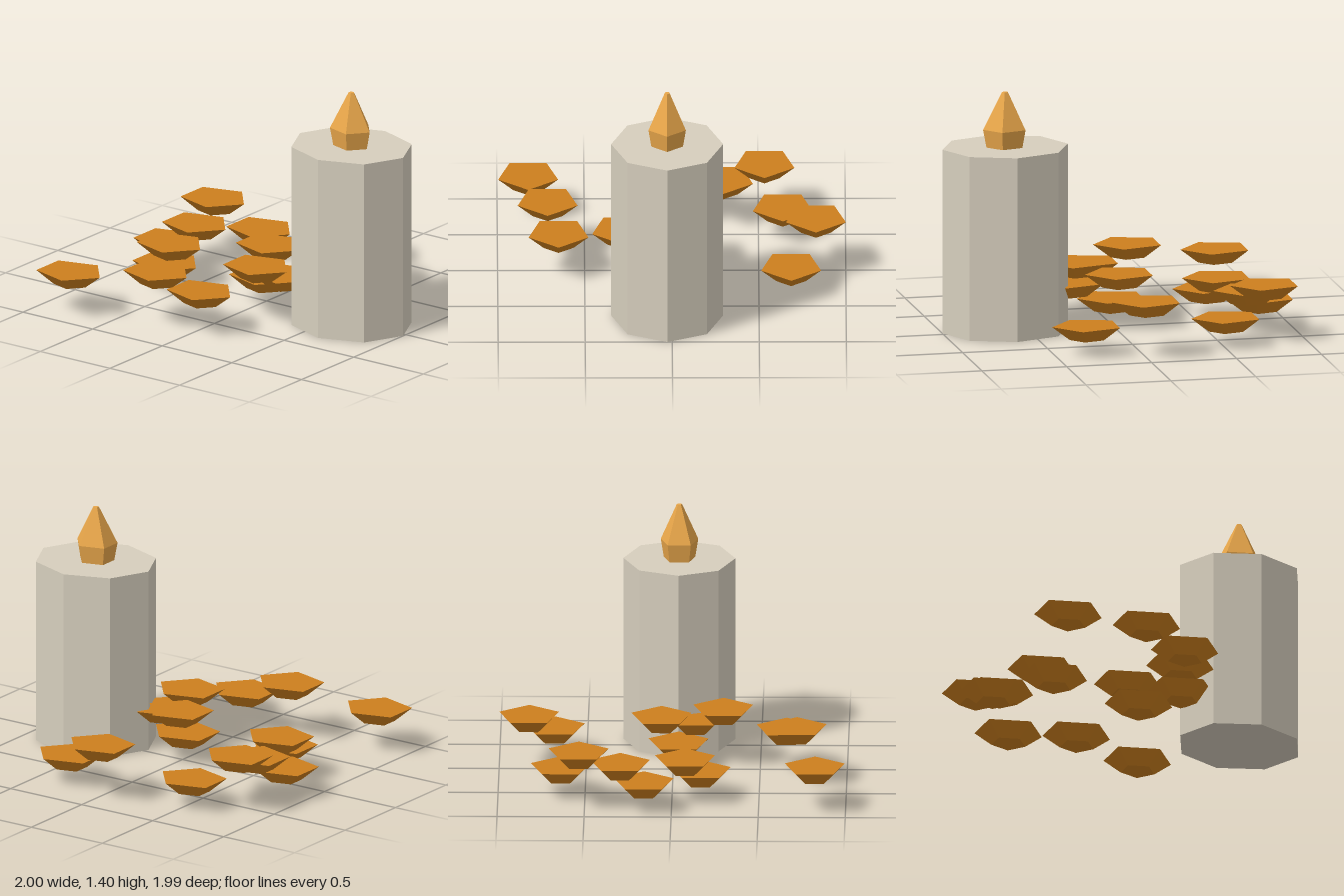
import * as THREE from 'three';

const DEPTH = 0.87; // everything is slightly squashed along z

function material(color) {
  return new THREE.MeshStandardMaterial({ color, flatShading: true });
}

// Faceted frustum with one corner pointing to +x
function frustum(name, rTop, rBottom, height, sides, mat, x, y, z, open = false) {
  const geo = new THREE.CylinderGeometry(rTop, rBottom, height, sides, 1, open, Math.PI / 2);
  geo.translate(0, height / 2, 0);
  const mesh = new THREE.Mesh(geo, mat);
  mesh.name = name;
  mesh.scale.z = DEPTH;
  mesh.position.set(x, y, z);
  return mesh;
}

export function createModel() {
  const model = new THREE.Group();
  model.name = 'candleWithPetals';
  const wax = material(0xd6cebd);
  const fire = material(0xe8a64a);
  const petalMat = material(0xcc7f1e);

  // Candle body
  const cx = 0.63, cz = 0.028;
  model.add(frustum('candle', 0.37, 0.37, 1.08, 8, wax, cx, 0, cz));

  // Flame: flaring base and tapering tip
  const flame = new THREE.Group();
  flame.name = 'flame';
  flame.add(frustum('flameBase', 0.13, 0.11, 0.105, 5, fire, cx, 1.08, cz, true));
  flame.add(frustum('flameTip', 0.018, 0.13, 0.217, 5, fire, cx, 1.185, cz));
  model.add(flame);

  // Scattered petals: centre x, centre z, layer
  const petals = [
    [-0.013, -0.828, 2], [0.307, -0.685, 0], [-0.523, -0.64, 0],
    [-0.773, -0.535, 2], [-0.728, -0.297, 1], [-0.83, -0.16, 0],
    [-0.63, 0.075, 1], [-0.593, 0.165, 0], [-0.025, -0.068, 2],
    [0, 0.03, 0], [0.223, 0.125, 1], [0.148, 0.285, 2],
    [0.017, 0.65, 1], [-0.25, 0.712, 2], [-0.79, 0.822, 1],
  ];
  const heap = new THREE.Group();
  heap.name = 'petals';
  petals.forEach(([x, z, layer]) => {
    heap.add(frustum('petal', 0.208, 0.104, 0.08, 5, petalMat, x, 0.085 + layer * 0.08, z));
  });
  model.add(heap);

  return model;
}
